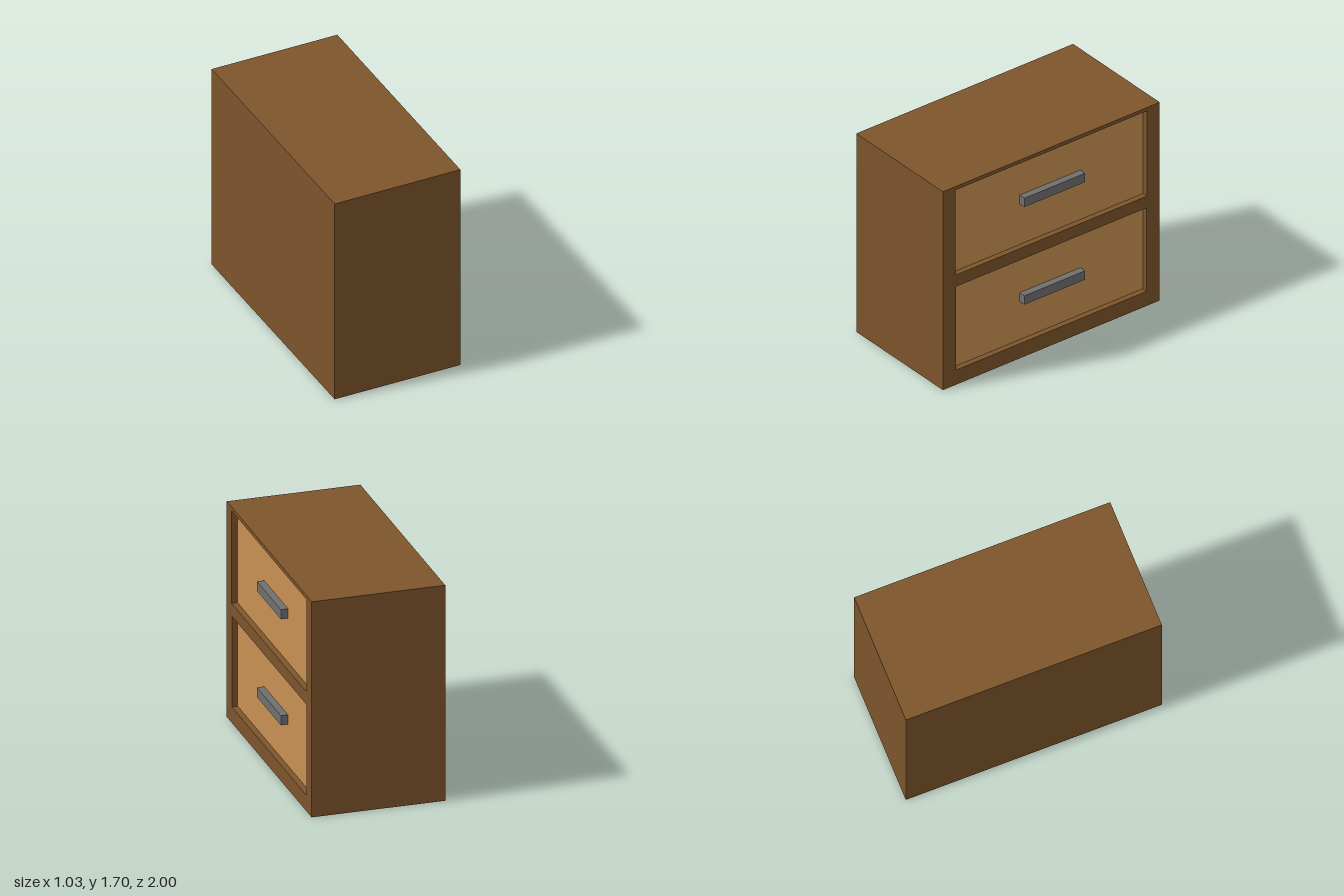
import * as THREE from 'three';

const wood = new THREE.MeshStandardMaterial({ color: 0x7d552c });
const lightWood = new THREE.MeshStandardMaterial({ color: 0xc89152 });
const metal = new THREE.MeshStandardMaterial({ color: 0x707070 });

// Box given by its lower and upper corner
function box(name, material, [x0, y0, z0], [x1, y1, z1]) {
  const mesh = new THREE.Mesh(new THREE.BoxGeometry(x1 - x0, y1 - y0, z1 - z0), material);
  mesh.position.set((x0 + x1) / 2, (y0 + y1) / 2, (z0 + z1) / 2);
  mesh.name = name;
  return mesh;
}

// Closed rectangle in the (-z, y) plane, for the face frame
function rectangle(PathType, z0, y0, z1, y1) {
  const path = new PathType();
  path.moveTo(-z1, y0);
  path.lineTo(-z0, y0);
  path.lineTo(-z0, y1);
  path.lineTo(-z1, y1);
  path.closePath();
  return path;
}

export function createModel() {
  const group = new THREE.Group();
  group.name = 'drawerCabinet';

  const back = -0.515, face = 0.505, recess = 0.46, height = 1.695;
  const drawers = [
    { name: 'lowerDrawer', z0: -0.88, z1: 0.88, y0: 0.125, y1: 0.838, handleY: 0.45 },
    { name: 'upperDrawer', z0: -0.883, z1: 0.885, y0: 0.938, y1: 1.665, handleY: 1.284 },
  ];

  // Carcass behind the drawer fronts
  group.add(box('carcass', wood, [back, 0, -1], [recess - 0.01, height, 1]));

  // Face frame with one opening per drawer
  const outline = rectangle(THREE.Shape, -1, 0, 1, height);
  for (const d of drawers) outline.holes.push(rectangle(THREE.Path, d.z0, d.y0, d.z1, d.y1));
  const frameGeometry = new THREE.ExtrudeGeometry(outline, { depth: face - recess + 0.01, bevelEnabled: false });
  frameGeometry.rotateY(Math.PI / 2);
  const frame = new THREE.Mesh(frameGeometry, wood);
  frame.position.x = recess - 0.01;
  frame.name = 'faceFrame';
  group.add(frame);

  // Recessed drawer fronts with bar handles
  for (const d of drawers) {
    const drawer = new THREE.Group();
    drawer.name = d.name;
    drawer.add(box('drawerFront', lightWood, [recess - 0.01, d.y0, d.z0], [recess, d.y1, d.z1]));
    drawer.add(box('handle', metal, [recess, d.handleY, -0.305], [0.515, d.handleY + 0.076, 0.257]));
    group.add(drawer);
  }
  return group;
}
